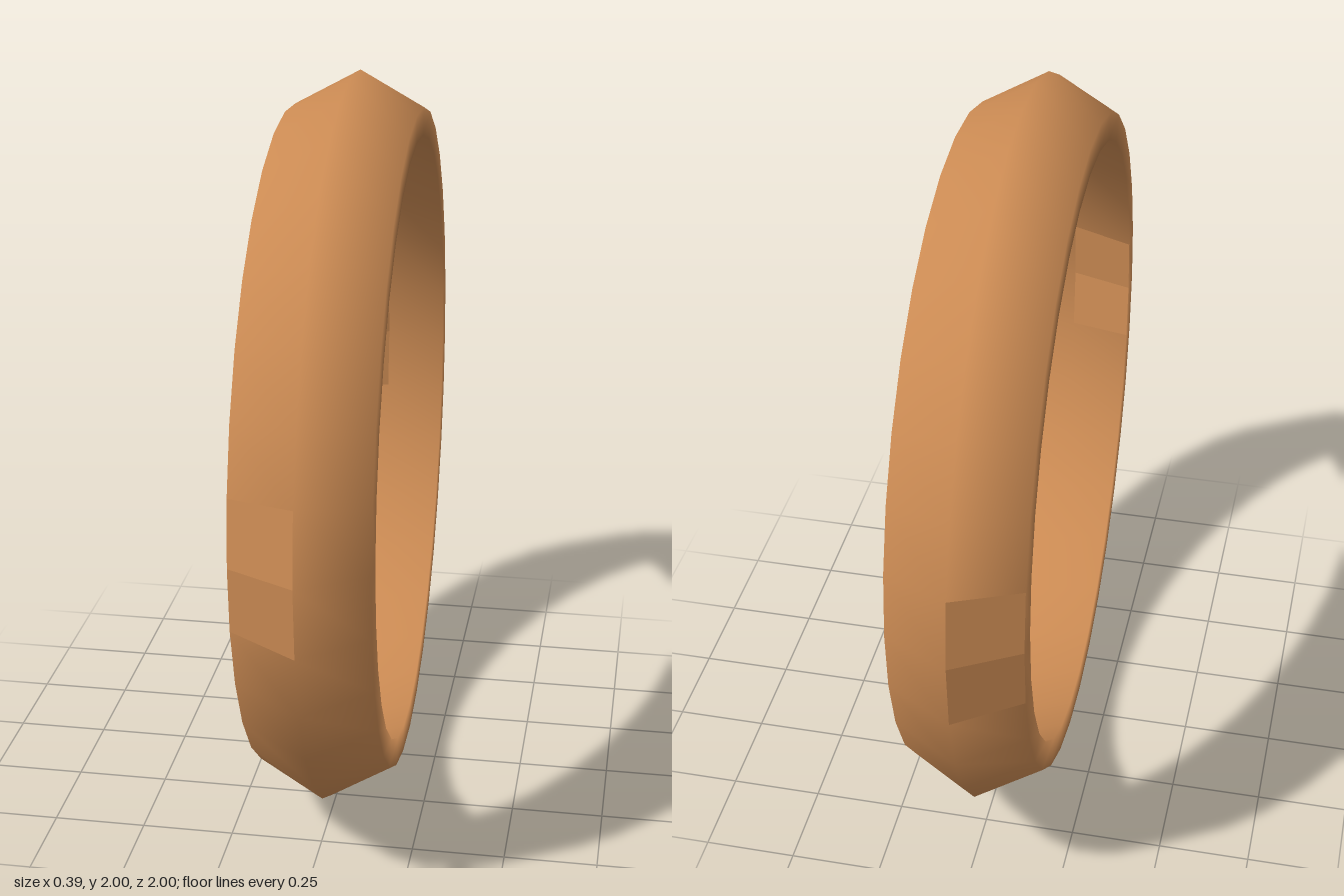
import * as THREE from 'three';

const SEGMENTS = 32;
// Band cross-section as [x, radius], running around the ring's own axis
const PROFILE = [[0, 1], [-0.175, 0.905], [-0.175, 0.83], [0, 0.89], [0.175, 0.83], [0.175, 0.905]];

// Flat plates cover two segments at the front and back of the -x half, outside and inside
const PLATE_SEGMENTS = [SEGMENTS - 1, 0, SEGMENTS / 2 - 1, SEGMENTS / 2];
const PLATE_EDGES = [0, 2];

export function createModel() {
  const group = new THREE.Group();
  group.name = 'ring';
  const material = new THREE.MeshStandardMaterial({ color: 0xcd8c54 });
  const flatMaterial = material.clone();
  flatMaterial.flatShading = true;

  // Sweep the cross-section around the x axis; angle 0 is the front
  const n = PROFILE.length;
  const positions = [];
  for (let k = 0; k < SEGMENTS; k++) {
    const a = (k / SEGMENTS) * Math.PI * 2;
    for (const [x, r] of PROFILE) positions.push(x, r * Math.sin(a), r * Math.cos(a));
  }

  const band = [], plates = [];
  for (let k = 0; k < SEGMENTS; k++) {
    for (let j = 0; j < n; j++) {
      const k2 = (k + 1) % SEGMENTS, j2 = (j + 1) % n;
      const a = k * n + j, b = k2 * n + j, c = k2 * n + j2, d = k * n + j2;
      const isPlate = PLATE_SEGMENTS.includes(k) && PLATE_EDGES.includes(j);
      (isPlate ? plates : band).push(a, b, c, a, c, d);
    }
  }

  // Smooth band: normals come from the closed ring, then the plate faces are left out
  const bandGeometry = new THREE.BufferGeometry();
  bandGeometry.setAttribute('position', new THREE.Float32BufferAttribute(positions, 3));
  bandGeometry.setIndex([...band, ...plates]);
  bandGeometry.computeVertexNormals();
  const plateGeometry = bandGeometry.clone();
  bandGeometry.setIndex(band);
  const bandMesh = new THREE.Mesh(bandGeometry, material);
  bandMesh.name = 'band';

  // Faceted plates filling the gaps
  plateGeometry.setIndex(plates);
  const flat = plateGeometry.toNonIndexed();
  flat.computeVertexNormals();
  const plateMesh = new THREE.Mesh(flat, flatMaterial);
  plateMesh.name = 'flatPlates';

  // Upright, turned very slightly about the vertical
  group.add(bandMesh, plateMesh);
  for (const mesh of group.children) {
    mesh.position.y = 1;
    mesh.rotation.y = 0.022;
  }
  return group;
}
